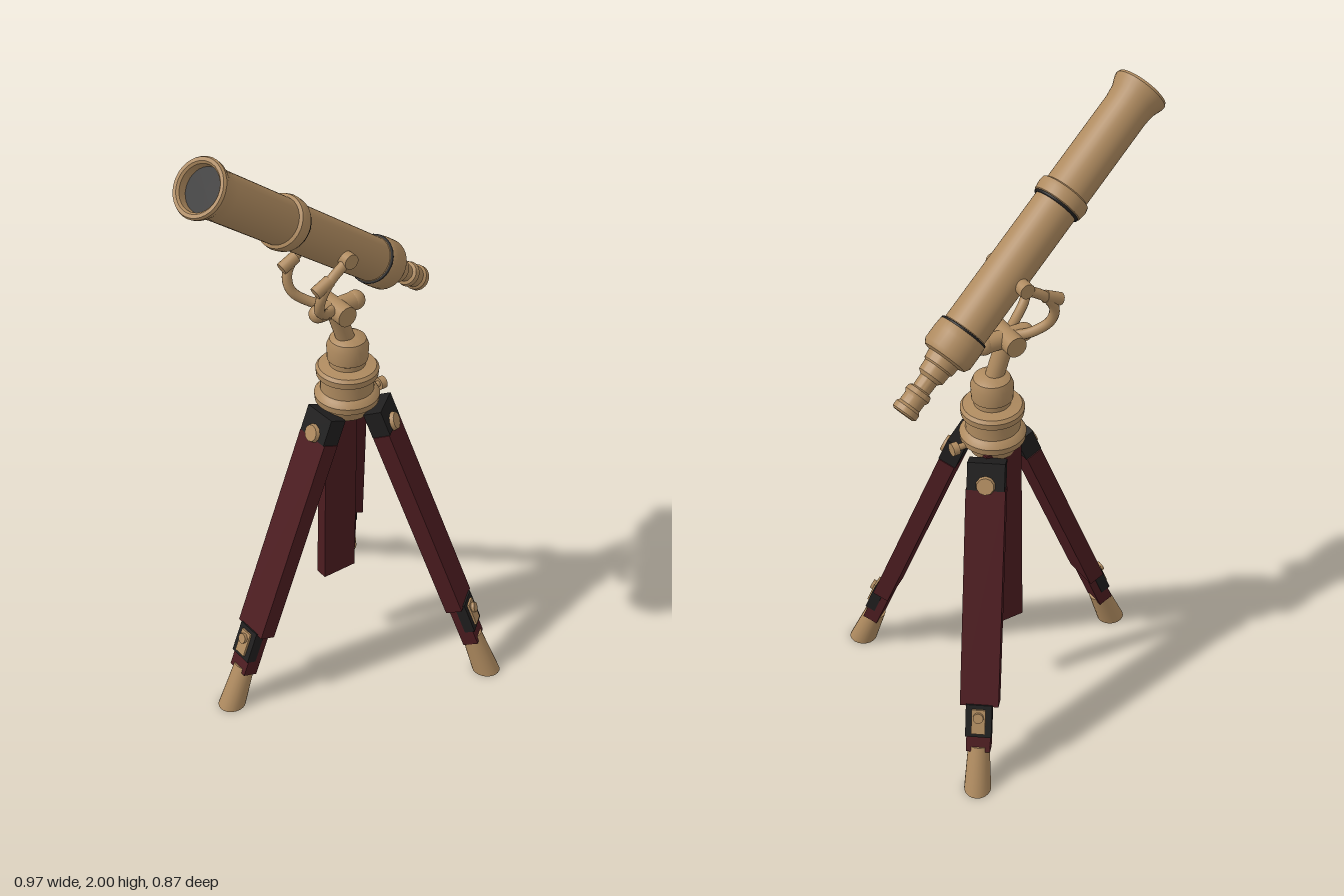
import * as THREE from 'three';
import { toCreasedNormals } from 'three/addons/utils/BufferGeometryUtils.js';

const V = (x, y, z) => new THREE.Vector3(x, y, z);
const mat = (name, color) => {
  const m = new THREE.MeshStandardMaterial({ color });
  m.name = name;
  return m;
};

export function createModel() {
  const brass = mat('brass', 0xae8a5f);
  const wood = mat('dark red wood', 0x4c1c20);
  const black = mat('blackened metal', 0x1f1e1e);
  const model = new THREE.Group();
  model.name = 'telescope on tripod';

  const add = (parent, name, geo, material, pos = V(0, 0, 0)) => {
    const mesh = new THREE.Mesh(geo, material);
    mesh.name = name;
    mesh.position.copy(pos);
    parent.add(mesh);
    return mesh;
  };
  const box = (w, h, d) => new THREE.BoxGeometry(w, h, d);
  // Turned part from [radius, height] pairs
  const turned = (pts, sides = 32) => toCreasedNormals(
    new THREE.LatheGeometry(pts.map(p => new THREE.Vector2(p[0], p[1])), sides), 0.6);
  // Round bar between two points
  const bar = (parent, name, a, b, r, material = brass) => {
    const mesh = add(parent, name, new THREE.CylinderGeometry(r, r, a.distanceTo(b), 18), material,
      a.clone().lerp(b, 0.5));
    mesh.quaternion.setFromUnitVectors(V(0, 1, 0), b.clone().sub(a).normalize());
    return mesh;
  };

  // Optical tube, local +y runs from the objective to the eyepiece
  const objective = V(-0.437, 1.932, 0.127), eyepiece = V(0.46, 1.257, -0.073);
  const tube = new THREE.Group();
  tube.name = 'opticalTube';
  tube.position.copy(objective);
  tube.quaternion.setFromUnitVectors(V(0, 1, 0), eyepiece.clone().sub(objective).normalize());
  model.add(tube);
  add(tube, 'tubeBody', turned([
    [0.06, 0.06], [0.064, 0.006], [0.07, 0], [0.08, 0], [0.084, 0.008], [0.082, 0.02], [0.072, 0.045],
    [0.068, 0.08], [0.068, 0.365], [0.077, 0.37], [0.08, 0.385], [0.077, 0.41], [0.067, 0.415],
    [0.067, 0.85], [0.075, 0.86], [0.077, 0.885], [0.077, 0.93], [0.068, 0.945], [0.05, 0.95],
    [0.047, 0.975], [0.042, 0.98], [0.04, 1.01], [0.028, 1.02], [0.027, 1.055], [0.036, 1.06],
    [0.039, 1.075], [0.033, 1.085], [0.033, 1.11], [0.039, 1.118], [0.039, 1.135], [0.032, 1.14], [0, 1.14]]), brass);
  const lens = add(tube, 'objectiveLens', new THREE.CircleGeometry(0.063, 32), black, V(0, 0.03, 0));
  lens.rotation.x = Math.PI / 2;
  for (const [y, r] of [[0.415, 0.069], [0.857, 0.07]]) {
    const band = add(tube, 'darkBand', new THREE.TorusGeometry(r, 0.005, 8, 32), black, V(0, y, 0));
    band.rotation.x = Math.PI / 2;
  }
  add(model, 'ringBoss', new THREE.SphereGeometry(0.02, 14, 10), brass, V(-0.09, 1.735, 0.045));
  bar(model, 'focusKnob', V(0.275, 1.4, -0.04), V(0.315, 1.445, -0.045), 0.02);

  // Curved yoke holding the tube on both sides
  for (const s of [1, -1]) {
    const p = (x, y, z) => V(x, y, 0.012 + s * z);
    const arm = new THREE.CatmullRomCurve3([p(0.08, 1.335, 0), p(0.025, 1.35, 0.04), p(-0.025, 1.39, 0.07),
      p(-0.03, 1.44, 0.084), p(0, 1.49, 0.086), p(0.06, 1.53, 0.08)]);
    add(model, 'yokeArm', new THREE.TubeGeometry(arm, 28, 0.015, 12), brass);
    bar(model, 'yokePivot', p(0.065, 1.535, 0.055), p(0.065, 1.535, 0.098), 0.023);
    bar(model, 'yokeScrew', p(-0.05, 1.465, 0.083), p(0, 1.49, 0.083), 0.019);
  }

  // Tilt clamp and its knobs
  bar(model, 'clampBarrel', V(0.02, 1.33, 0.01), V(0.15, 1.33, 0.01), 0.028);
  bar(model, 'clampCrossPin', V(0.08, 1.33, -0.05), V(0.08, 1.33, 0.075), 0.032);
  add(model, 'clampKnob', new THREE.SphereGeometry(0.03, 18, 12), brass, V(0.155, 1.33, 0.01));
  add(model, 'clampKnob', new THREE.SphereGeometry(0.027, 18, 12), brass, V(0.02, 1.33, 0.01));
  bar(model, 'post', V(0.08, 1.33, 0.01), V(0.125, 1.2, 0.01), 0.028);

  // Turned base on top of the legs
  add(model, 'mountBase', turned([
    [0, 0.955], [0.07, 0.955], [0.08, 0.985], [0.098, 0.995], [0.1, 1.015], [0.09, 1.03], [0.082, 1.035],
    [0.082, 1.08], [0.094, 1.085], [0.096, 1.105], [0.088, 1.115], [0.055, 1.12], [0.055, 1.135],
    [0.062, 1.14], [0.064, 1.185], [0.055, 1.208], [0.035, 1.22], [0, 1.22]]), brass, V(0.13, 0, 0.01));
  bar(model, 'baseScrew', V(0.2, 0.995, 0.01), V(0.255, 0.995, 0.01), 0.01);
  bar(model, 'baseScrewHead', V(0.25, 0.995, 0.01), V(0.27, 0.995, 0.01), 0.02);

  // Hanging board between the legs
  add(model, 'centreBoard', box(0.12, 0.69, 0.04), wood, V(0.13, 0.635, -0.035));

  // Legs: local y runs up the leg, local z points outwards
  const legs = [
    [V(0.045, 0.98, 0.025), V(-0.335, 0, 0.04)],
    [V(0.195, 0.98, 0.075), V(0.435, 0, 0.388)],
    [V(0.195, 0.98, -0.07), V(0.43, 0, -0.39)]];
  for (const [top, foot] of legs) {
    const leg = new THREE.Group();
    leg.name = 'leg';
    const L = top.distanceTo(foot);
    const Y = top.clone().sub(foot).normalize();
    const X = Y.clone().cross(V(foot.x - top.x, 0, foot.z - top.z)).normalize();
    const Z = X.clone().cross(Y);
    leg.quaternion.setFromRotationMatrix(new THREE.Matrix4().makeBasis(X, Y, Z));
    leg.position.copy(foot);
    model.add(leg);

    // Wooden beam with a dark head and a brass rosette
    const y0 = 0.27 * L, y1 = 0.92 * L;
    add(leg, 'legBeam', box(0.118, y1 - y0, 0.054), wood, V(0, (y0 + y1) / 2, 0));
    add(leg, 'legHead', box(0.112, L - y1, 0.058), black, V(0, (y1 + L) / 2, 0));
    const rosette = add(leg, 'rosette', new THREE.CylinderGeometry(0.026, 0.03, 0.014, 10), brass,
      V(0, 0.935 * L, 0.034));
    rosette.rotation.x = Math.PI / 2;
    // Sliding lower section with dark collar and latch
    add(leg, 'lowerSlide', box(0.074, 0.16 * L, 0.05), wood, V(0, 0.205 * L, 0));
    add(leg, 'slideCollar', box(0.08, 0.1 * L, 0.034), black, V(0, 0.225 * L, 0.016));
    add(leg, 'latchPlate', box(0.042, 0.075 * L, 0.008), brass, V(0, 0.225 * L, 0.036));
    bar(leg, 'latchKnob', V(0, 0.24 * L, 0.035), V(0, 0.24 * L, 0.05), 0.016);

    // Brass foot, its sole sheared flat to the ground
    const geo = new THREE.CylinderGeometry(0.033, 0.042, 0.14 * L, 20);
    geo.translate(0, 0.07 * L, 0);
    const p = geo.attributes.position;
    for (let i = 0; i < p.count; i++) {
      if (p.getY(i) < 0.01) p.setY(i, -p.getZ(i) * Z.y / Y.y);
    }
    add(leg, 'foot', toCreasedNormals(geo, 0.6), brass);
  }
  return model;
}
